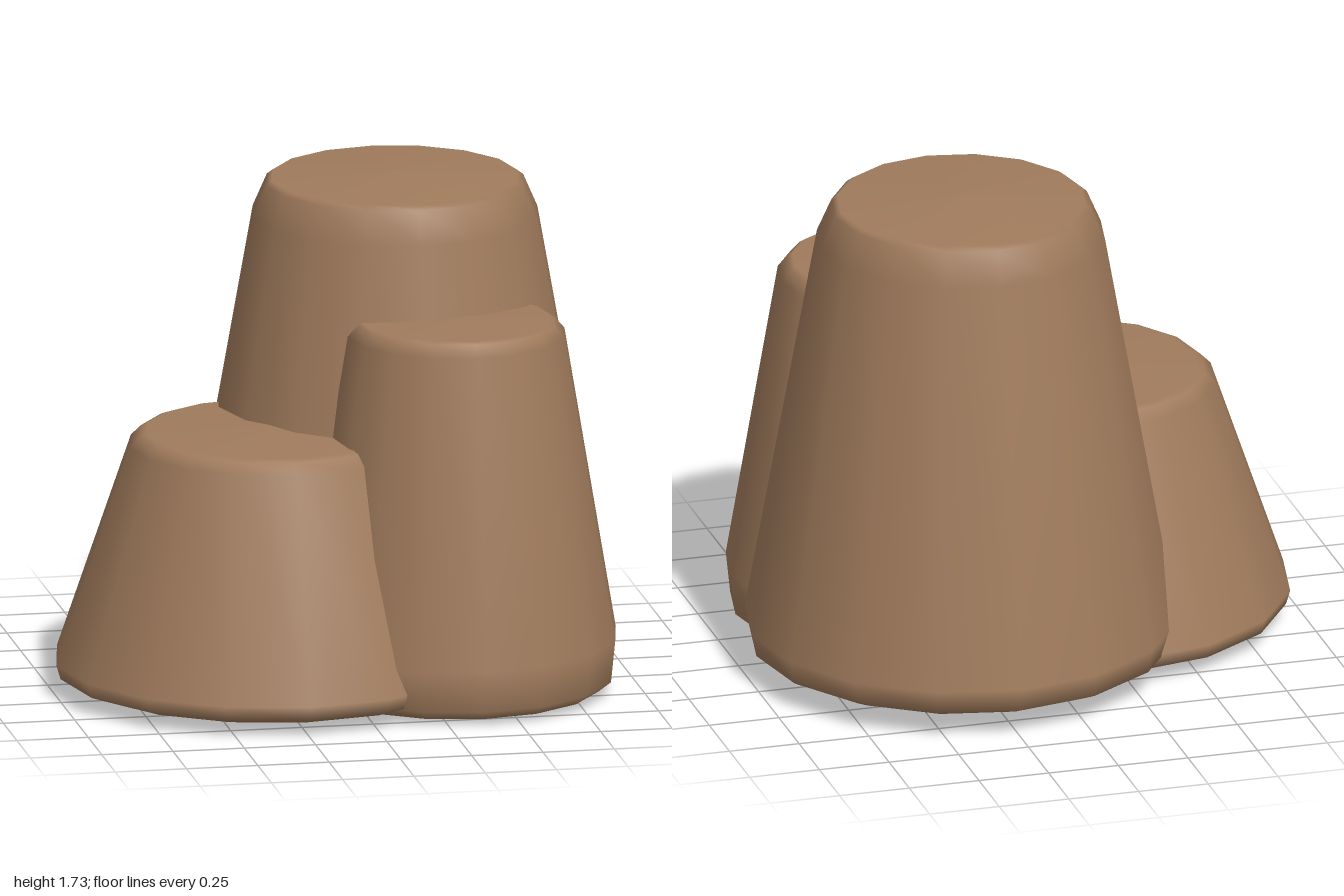
import * as THREE from 'three';

const SIDES = 16;

// Tapered rock column with a bevelled foot and a slightly domed cap.
// Profile is [radius, height] from the underside to the top.
function rock(name, x, z, profile, material) {
  const points = profile.map(([r, y]) => new THREE.Vector2(r, y));
  const mesh = new THREE.Mesh(new THREE.LatheGeometry(points, SIDES), material);
  mesh.name = name;
  mesh.position.set(x, 0, z);
  return mesh;
}

export function createModel() {
  const group = new THREE.Group();
  group.name = 'rockCluster';
  const stone = new THREE.MeshStandardMaterial({ color: 0xa07b5c });

  // Tall column at the back
  group.add(rock('tallRock', 0.25, -0.17, [
    [0, 0.055], [0.67, 0.07], [0.735, 0.1], [0.75, 0.18],
    [0.5, 1.58], [0.45, 1.695], [0.43, 1.71], [0, 1.73],
  ], stone));

  // Medium column at the front
  group.add(rock('mediumRock', 0.37, 0.33, [
    [0, 0], [0.5, 0.02], [0.545, 0.055], [0.56, 0.2],
    [0.38, 1.27], [0.345, 1.31], [0.33, 1.32], [0, 1.33],
  ], stone));

  // Low, wide stump at the side
  group.add(rock('lowRock', -0.25, 0.16, [
    [0, 0.02], [0.68, 0.04], [0.735, 0.06], [0.75, 0.11],
    [0.49, 0.87], [0.455, 0.905], [0.43, 0.915], [0, 0.93],
  ], stone));

  return group;
}
